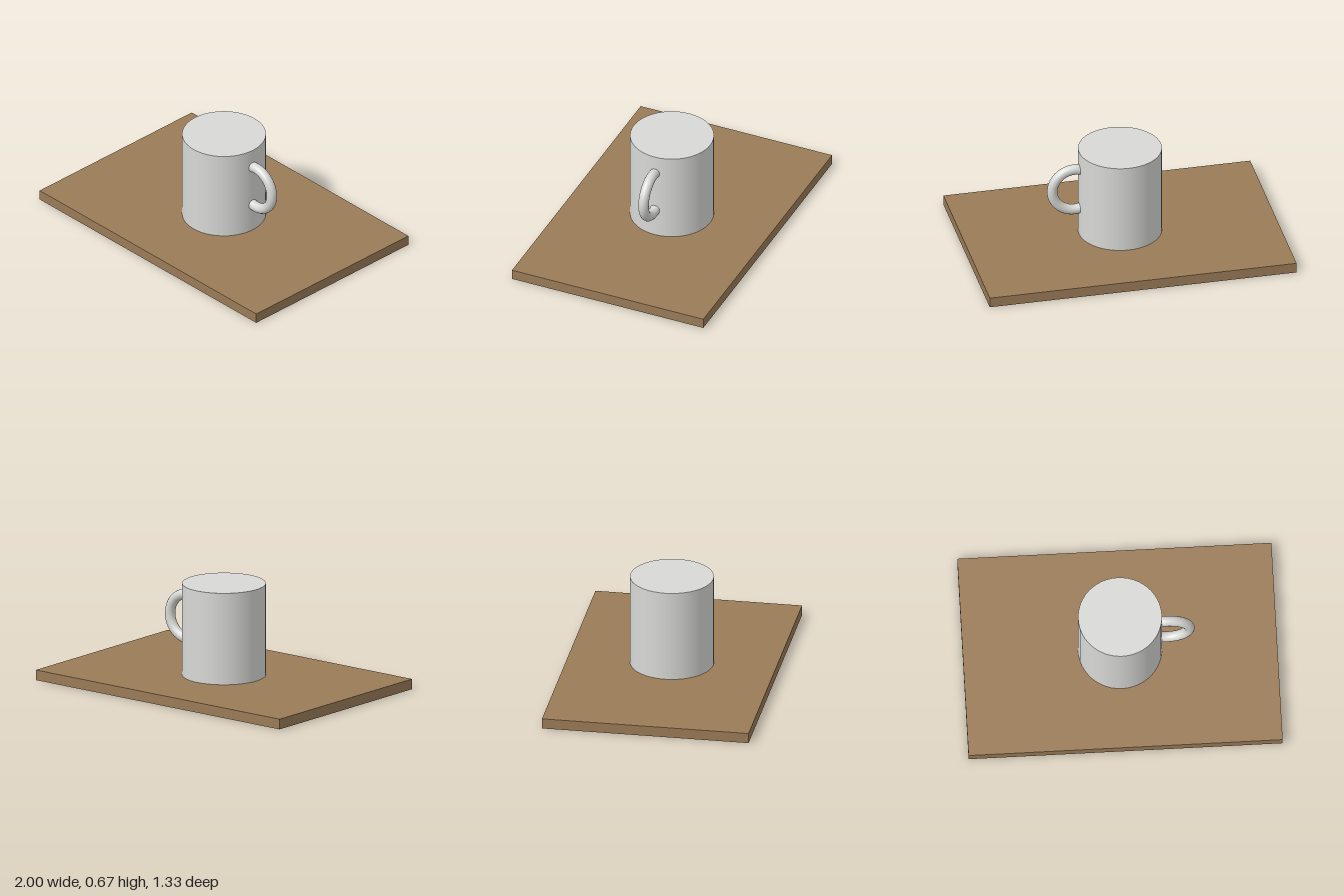
import * as THREE from 'three';

export function createModel() {
  const group = new THREE.Group();
  const wood = new THREE.MeshStandardMaterial({ color: 0x9a7b57 });
  wood.name = 'brown wood';
  const ceramic = new THREE.MeshStandardMaterial({ color: 0xd8d8d6 });
  ceramic.name = 'pale grey ceramic';

  const add = (name, geometry, material, x, y, z) => {
    const mesh = new THREE.Mesh(geometry, material);
    mesh.name = name;
    mesh.position.set(x, y, z);
    group.add(mesh);
    return mesh;
  };

  // flat serving board
  const boardHeight = 0.0667;
  add('board', new THREE.BoxGeometry(2, boardHeight, 1.3333), wood, 0, boardHeight / 2, 0);

  // solid cup standing in the middle of the board
  const cupHeight = 0.6;
  add('cup', new THREE.CylinderGeometry(0.2667, 0.2667, cupHeight, 48), ceramic,
    0, boardHeight + cupHeight / 2, 0);

  // ring handle, its open ends buried in the cup wall
  const arc = Math.PI * 1.3;
  const handle = add('handle', new THREE.TorusGeometry(0.145, 0.0333, 16, 48, arc), ceramic,
    0.297, 0.4, 0);
  handle.rotation.z = -arc / 2;

  return group;
}
